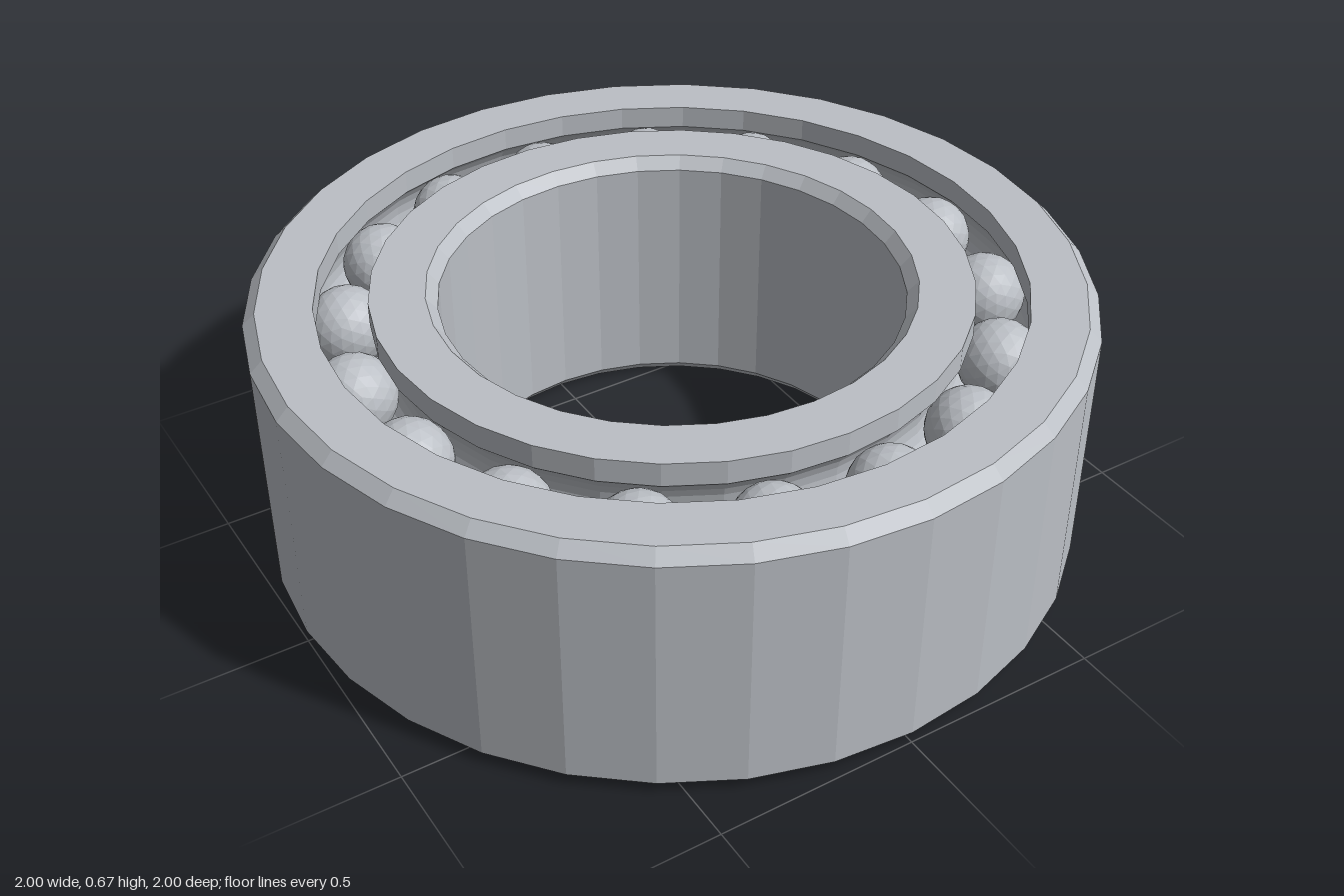
import * as THREE from 'three';

const HEIGHT = 0.67, BEVEL = 0.03, SIDES = 32;
const PITCH = 0.775, BALL_R = 0.1, BALLS = 17;
const ROWS = [0.14, 0.53];

// Semi-open groove cut around one ball row; dir +1 cuts outward, -1 inward.
// Points run from the bottom of the groove to the top.
function groove(y, lipRadius, dir) {
  const r = BALL_R + 0.003;
  const half = Math.acos(Math.abs(lipRadius - PITCH) / r);
  const points = [];
  for (let i = 0; i <= 8; i++) {
    const a = -half + (2 * half * i) / 8;
    points.push([PITCH + dir * r * Math.cos(a), y + r * Math.sin(a)]);
  }
  return points;
}

// Faceted ring turned from a closed profile that runs up the outside
function ring(name, profile, material) {
  const points = [...profile, profile[0]].map(([r, y]) => new THREE.Vector2(r, y));
  const mesh = new THREE.Mesh(new THREE.LatheGeometry(points, SIDES), material);
  mesh.name = name;
  return mesh;
}

export function createModel() {
  const steel = new THREE.MeshStandardMaterial({ color: 0xbbbfc5, flatShading: true });
  steel.name = 'steel';
  const model = new THREE.Group();
  model.name = 'ballBearing';

  // Outer ring: bevelled outside, two grooves inside
  const outerLip = 0.837;
  const outerRaces = ROWS.flatMap((y) => groove(y, outerLip, 1)).reverse();
  model.add(ring('outerRing', [
    [0.97, 0], [1, BEVEL], [1, HEIGHT - BEVEL], [0.97, HEIGHT],
    [outerLip, HEIGHT], ...outerRaces, [outerLip, 0],
  ], steel));

  // Inner ring: two grooves outside, bevelled bore
  const innerLip = 0.711, bore = 0.552;
  const innerRaces = ROWS.flatMap((y) => groove(y, innerLip, -1));
  model.add(ring('innerRing', [
    [innerLip, 0], ...innerRaces, [innerLip, HEIGHT],
    [bore + 0.027, HEIGHT], [bore, HEIGHT - BEVEL], [bore, BEVEL], [bore + 0.027, 0],
  ], steel));

  // Two aligned rows of balls
  const ballGeometry = new THREE.IcosahedronGeometry(BALL_R, 3);
  ROWS.forEach((y, row) => {
    const group = new THREE.Group();
    group.name = row ? 'upperBalls' : 'lowerBalls';
    for (let i = 0; i < BALLS; i++) {
      const a = (i / BALLS) * Math.PI * 2;
      const ball = new THREE.Mesh(ballGeometry, steel);
      ball.name = 'ball';
      ball.position.set(PITCH * Math.cos(a), y, PITCH * Math.sin(a));
      ball.rotation.y = -a;
      group.add(ball);
    }
    model.add(group);
  });

  return model;
}
